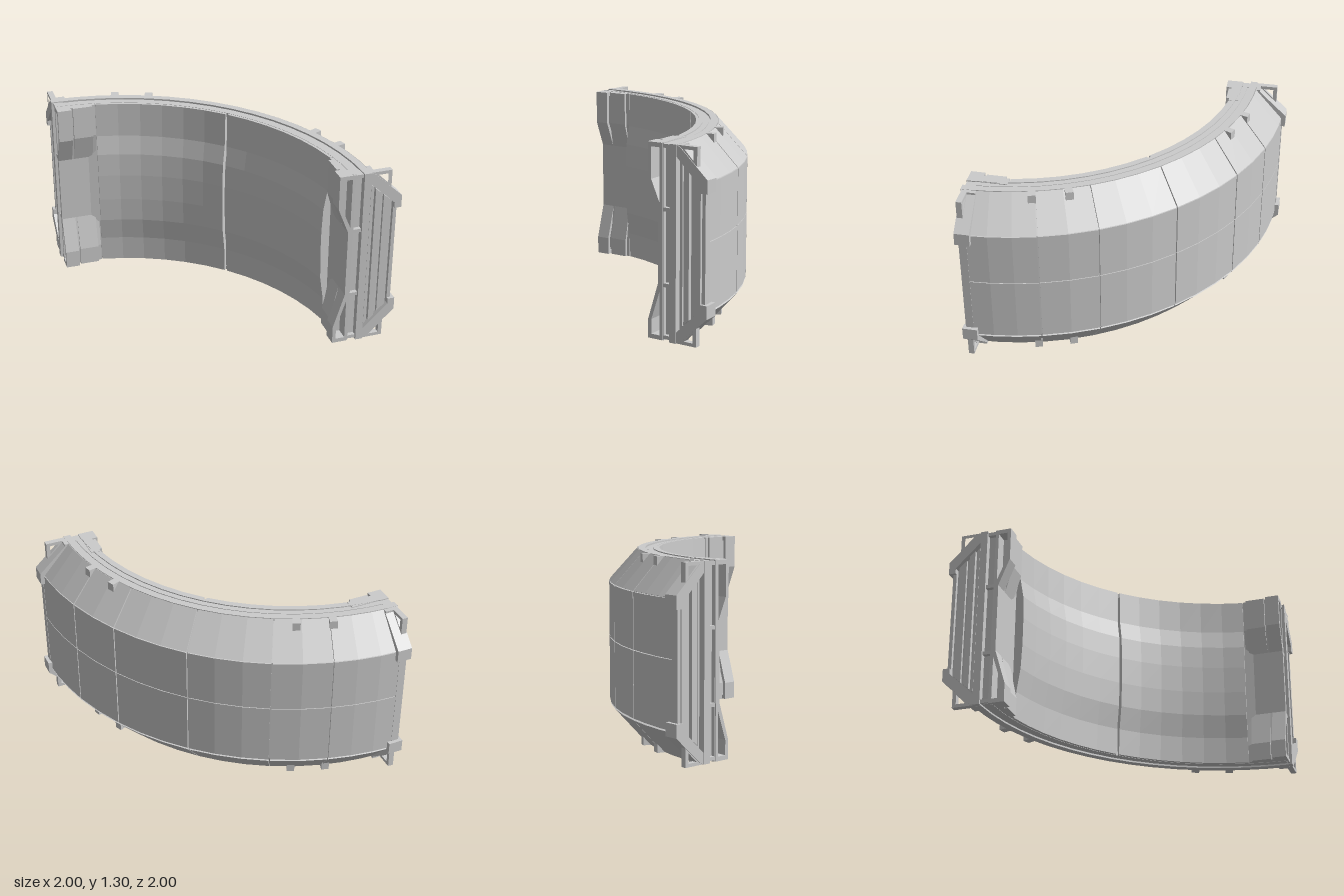
import * as THREE from 'three';

const material = new THREE.MeshStandardMaterial({ color: 0xcccccc, flatShading: true });
const MID = 0.66; // height of the horizontal mirror plane
const flipY = (pts) => pts.map(([r, y]) => [r, 2 * MID - y]);
const toShape = (pts) => new THREE.Shape(pts.map(([r, y]) => new THREE.Vector2(r, y)));
const rect = (r0, r1, y0, y1) => [[r0, y0], [r1, y0], [r1, y1], [r0, y1]];

export function createModel() {
  const model = new THREE.Group();

  function add(geo, name) {
    const mesh = new THREE.Mesh(geo, material);
    mesh.name = name;
    model.add(mesh);
  }

  // Sweep a (radius, height) profile around the arc centre at x = -1, z = 1
  function sector(name, profile, deg0, deg1) {
    const steps = Math.max(1, Math.round((deg1 - deg0) / 5.5));
    const geo = new THREE.ExtrudeGeometry(toShape(profile), { depth: 1, steps, bevelEnabled: false });
    const p = geo.attributes.position;
    for (let i = 0; i < p.count; i++) {
      const r = p.getX(i);
      const a = THREE.MathUtils.degToRad(deg0 + (deg1 - deg0) * p.getZ(i));
      p.setXYZ(i, -1 + r * Math.sin(a), p.getY(i), 1 - r * Math.cos(a));
    }
    geo.computeVertexNormals();
    add(geo, name);
  }

  // Flat plate at both ends of the arc, from depth t0 to t1 behind the end plane
  function endPlate(name, profile, t0, t1, holes = []) {
    const shape = toShape(profile);
    holes.forEach((h) => shape.holes.push(toShape(h)));
    const opts = { depth: t1 - t0, bevelEnabled: false };
    add(new THREE.ExtrudeGeometry(shape, opts).translate(-1, 0, 1 - t1), name + 'Left');
    add(new THREE.ExtrudeGeometry(shape, opts).rotateY(Math.PI / 2).translate(-1 + t0, 0, 1), name + 'Right');
  }

  // Solid wall core, with raised rim rails on top and underneath
  sector('wallCore', [[1.645, 0.02], [1.76, 0.02], [1.96, 0.24], [1.96, 1.08], [1.76, 1.3], [1.645, 1.3]], 1.5, 88.5);
  for (const [r0, r1, h] of [[1.64, 1.665, 1.312], [1.665, 1.705, 1.305], [1.72, 1.77, 1.312]]) {
    const rim = rect(r0, r1, 1.28, h);
    sector('topRim', rim, 1, 89);
    sector('bottomRim', flipY(rim), 1, 89);
  }

  // Outer armour panels, separated by narrow seams
  const upperWall = rect(1.95, 1.975, 0.703, 1.083);
  const slope = [[1.945, 1.08], [1.973, 1.089], [1.775, 1.31], [1.75, 1.295]];
  const seams = [1.5, 16, 28, 45, 62, 74, 88.5];
  for (let i = 0; i < seams.length - 1; i++) {
    const a = seams[i] + 0.12;
    const b = seams[i + 1] - 0.12;
    sector('upperWallPanel', upperWall, a, b);
    sector('lowerWallPanel', rect(1.95, 1.975, 0.245, 0.698), a, b);
    sector('upperSlopePanel', slope, a, b);
    sector('lowerSlopePanel', flipY(slope), a, b);
  }

  // Small lugs on the sloped edges
  for (const deg of [15.3, 23.2, 66.8, 74.7]) {
    const lug = rect(1.76, 1.825, 1.25, 1.312);
    sector('upperLug', lug, deg - 0.85, deg + 0.85);
    sector('lowerLug', flipY(lug), deg - 0.85, deg + 0.85);
  }

  // Inner liner, bulging towards the middle height, in two halves
  const liner = [[1.62, 0.01], [1.612, 0.2], [1.585, 0.37], [1.577, 0.55], [1.577, 0.75],
    [1.585, 0.92], [1.612, 1.06], [1.62, 1.31], [1.65, 1.31], [1.65, 0.01]];
  sector('innerLinerRight', liner, 10.5, 44.65);
  sector('innerLinerLeft', liner, 45.35, 79.5);

  // Door jambs: bent plates, deep at top and bottom and recessed between
  const jamb = (r) => [[r, 0.01], [r, 0.14], [1.627, 0.39], [1.627, 0.88], [r, 1.07], [r, 1.31], [1.66, 1.31], [1.66, 0.01]];
  endPlate('jambFace', jamb(1.55), 0.01, 0.11, [
    [[1.575, 0.04], [1.64, 0.04], [1.64, 0.34], [1.575, 0.14]],
    [[1.575, 1.07], [1.64, 0.92], [1.64, 1.28], [1.575, 1.28]],
  ]);
  endPlate('jambGroove', jamb(1.59), 0.1, 0.29);
  endPlate('jambReturn', jamb(1.57), 0.125, 0.265);

  // Upright rails, cross bars and ribs on the end faces
  endPlate('endRail', rect(1.72, 1.77, 0.01, 1.312), 0, 0.08);
  endPlate('endInnerRail', rect(1.645, 1.665, 0.01, 1.312), 0.015, 0.08);
  for (const y of [0.02, 0.37, 0.87, 1.28]) endPlate('endCrossBar', rect(1.65, 1.73, y, y + 0.025), 0.015, 0.08);
  for (const [r0, r1, t] of [[1.785, 1.8, 0.03], [1.815, 1.855, 0.02], [1.88, 1.935, 0.03], [1.95, 1.975, 0.025]]) {
    const top = (r) => 1.22 - 0.9 * (r - 1.77);
    endPlate('endRib', [[r0, 2 * MID - top(r0)], [r1, 2 * MID - top(r1)], [r1, top(r1)], [r0, top(r0)]], t, 0.08);
  }

  // Corner brackets: a diagonal brace with a thin pierced gusset
  const brace = [[1.77, 1.31], [1.8, 1.295], [2, 1.11], [2, 1.02], [1.95, 1.02], [1.95, 1.06], [1.77, 1.235]];
  const gusset = [[1.77, 1.31], [1.92, 1.31], [1.92, 1.17], [1.85, 1.2], [1.77, 1.27]];
  const hole = [[1.825, 1.287], [1.893, 1.287], [1.893, 1.22]];
  for (const f of [(p) => p, flipY]) {
    endPlate('cornerBrace', f(brace), 0.005, 0.11);
    endPlate('cornerGusset', f(gusset), 0.01, 0.05, [f(hole)]);
    endPlate('cornerCap', f(rect(1.77, 1.8, 1.24, 1.31)), 0.01, 0.11);
  }

  return model;
}
